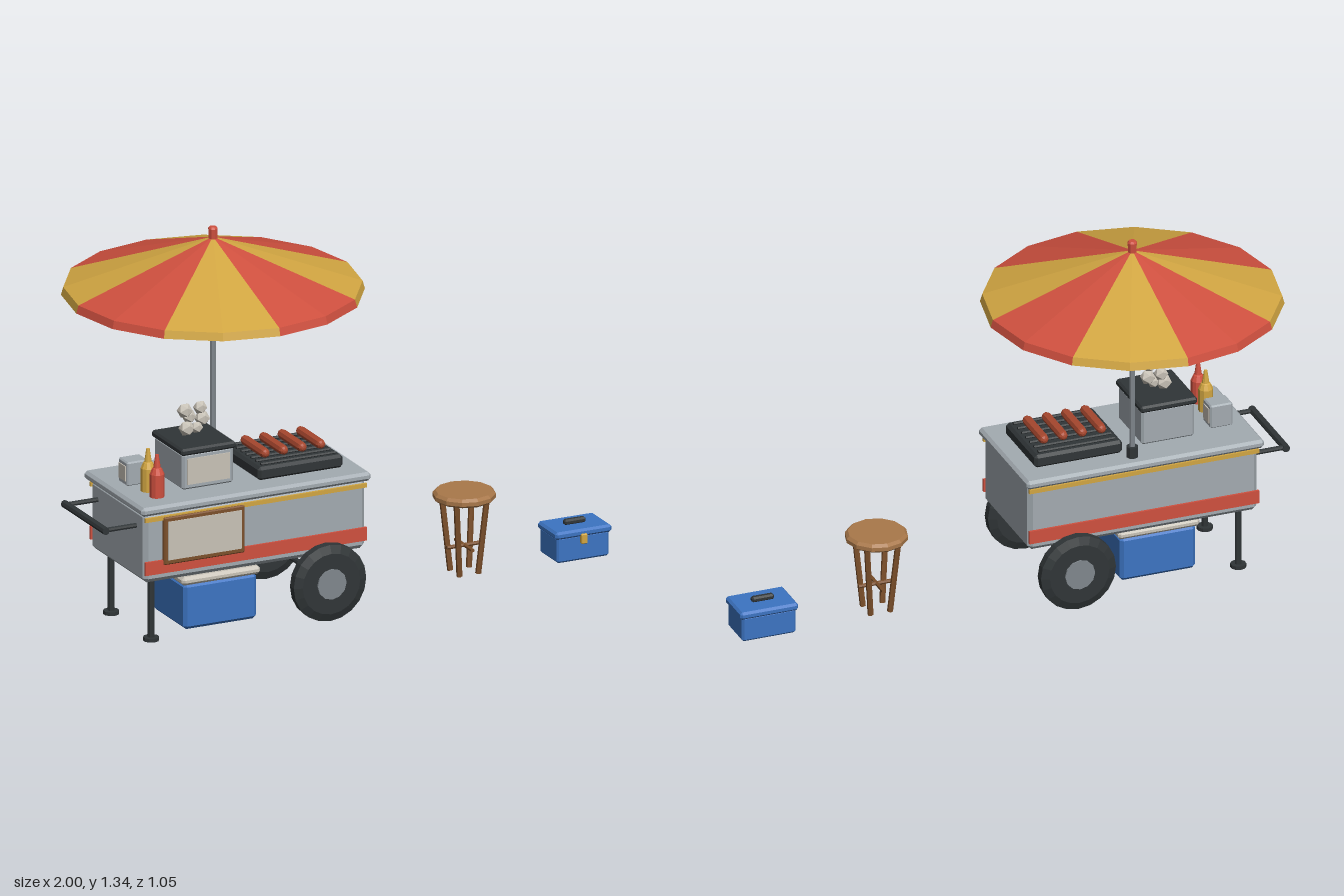
import * as THREE from 'three';
import { ConvexGeometry } from 'three/addons/geometries/ConvexGeometry.js';

const mat = (name, color, side = THREE.FrontSide) => {
  const m = new THREE.MeshStandardMaterial({ color, flatShading: true, side });
  m.name = name;
  return m;
};

export function createModel() {
  const red = mat('red', 0xcf503f, THREE.DoubleSide);
  const yellow = mat('yellow', 0xd2a642, THREE.DoubleSide);
  const steel = mat('steel', 0xa3abb1);
  const darkSteel = mat('dark steel', 0x80878d);
  const dark = mat('charcoal', 0x303537);
  const blue = mat('blue', 0x3c74c2);
  const cream = mat('cream', 0xc8c2b7);
  const brown = mat('brown', 0x7d502b);
  const tan = mat('tan', 0xa9784a);
  const sausageRed = mat('sausage', 0xa9482f);

  const model = new THREE.Group();
  model.name = 'foodCart';
  const group = (name) => {
    const g = new THREE.Group();
    g.name = name;
    model.add(g);
    return g;
  };
  const add = (parent, name, geo, material, x = 0, y = 0, z = 0) => {
    const m = new THREE.Mesh(geo, material);
    m.name = name;
    m.position.set(x, y, z);
    parent.add(m);
    return m;
  };
  // Box given by its limits; a bevel b > 0 chamfers every edge
  const box = (parent, name, material, x0, x1, y0, y1, z0, z1, b = 0) => {
    const w = (x1 - x0) / 2, h = (y1 - y0) / 2, d = (z1 - z0) / 2;
    let geo;
    if (b) {
      const pts = [];
      for (const i of [-1, 1]) for (const j of [-1, 1]) for (const k of [-1, 1]) {
        pts.push(
          new THREE.Vector3(i * w, j * (h - b), k * (d - b)),
          new THREE.Vector3(i * (w - b), j * h, k * (d - b)),
          new THREE.Vector3(i * (w - b), j * (h - b), k * d));
      }
      geo = new ConvexGeometry(pts);
    } else geo = new THREE.BoxGeometry(w * 2, h * 2, d * 2);
    return add(parent, name, geo, material, (x0 + x1) / 2, (y0 + y1) / 2, (z0 + z1) / 2);
  };
  // Round bar between two points
  const bar = (parent, name, material, a, b, r, sides = 8) => {
    const p = new THREE.Vector3(...a), q = new THREE.Vector3(...b);
    const dir = q.clone().sub(p);
    const m = add(parent, name, new THREE.CylinderGeometry(r, r, dir.length(), sides), material);
    m.position.copy(p).add(q).multiplyScalar(0.5);
    m.quaternion.setFromUnitVectors(new THREE.Vector3(0, 1, 0), dir.normalize());
    return m;
  };
  const lathe = (pts, sides, start = 0, sweep = Math.PI * 2) =>
    new THREE.LatheGeometry(pts.map(([r, y]) => new THREE.Vector2(r, y)), sides, start, sweep);

  // Cart body, counter and stripes on both long sides
  const cart = group('cart');
  box(cart, 'cartBody', steel, -0.865, -0.015, 0.23, 0.485, -0.03, 0.39, 0.016);
  box(cart, 'counterTop', steel, -0.88, 0, 0.478, 0.51, -0.055, 0.405, 0.01);
  for (const z of [-0.034, 0.394]) {
    box(cart, 'redStripe', red, -0.865, -0.015, 0.262, 0.31, z - 0.0045, z + 0.0045);
    box(cart, 'yellowStripe', yellow, -0.865, -0.015, 0.455, 0.47, z - 0.0045, z + 0.0045);
  }
  box(cart, 'menuFrame', brown, -0.797, -0.487, 0.293, 0.465, 0.39, 0.406, 0.004);
  box(cart, 'menuPanel', cream, -0.782, -0.501, 0.31, 0.45, 0.402, 0.409);

  // Push handle
  const handle = group('pushHandle');
  bar(handle, 'handleGrip', dark, [-0.986, 0.425, 0.012], [-0.986, 0.425, 0.338], 0.0135);
  for (const z of [0.025, 0.325]) bar(handle, 'handleArm', dark, [-0.986, 0.425, z], [-0.86, 0.425, z], 0.009);

  // Support legs with feet
  for (const z of [0.02, 0.33]) {
    const leg = group('supportLeg');
    bar(leg, 'legPost', dark, [-0.81, 0, z], [-0.81, 0.24, z], 0.0125);
    bar(leg, 'legFoot', dark, [-0.81, 0, z], [-0.81, 0.013, z], 0.028, 10);
  }

  // Wheels on an axle
  const wheels = group('wheels');
  bar(wheels, 'axle', dark, [-0.177, 0.144, -0.07], [-0.177, 0.144, 0.423], 0.01);
  const tyre = lathe([[0, -0.027], [0.11, -0.027], [0.139, -0.015], [0.139, 0.015], [0.11, 0.027], [0, 0.027]], 20);
  for (const z of [-0.07, 0.423]) {
    add(wheels, 'tyre', tyre, dark, -0.177, 0.144, z).rotation.x = Math.PI / 2;
    bar(wheels, 'hub', darkSteel, [-0.177, 0.144, z - 0.033], [-0.177, 0.144, z + 0.033], 0.055, 12);
  }

  // Parasol: eight panels of two facets each
  const parasol = group('parasol');
  for (let i = 0; i < 8; i++) {
    const panel = lathe([[0.524, 1.105], [0.516, 1.133], [0, 1.305]], 2, i * Math.PI / 4, Math.PI / 4);
    add(parasol, 'canopyPanel', panel, i % 2 ? yellow : red, -0.41);
  }
  bar(parasol, 'pole', darkSteel, [-0.41, 0.5, 0], [-0.41, 1.3, 0], 0.0105);
  bar(parasol, 'poleSocket', dark, [-0.41, 0.505, 0], [-0.41, 0.55, 0], 0.021);
  add(parasol, 'finial', lathe([[0, 0], [0.016, 0], [0.017, 0.035], [0.012, 0.042], [0, 0.042]], 8), red, -0.41, 1.3, 0);

  // Steamer with lid and puffs of steam
  const steamer = group('steamer');
  box(steamer, 'steamerBox', steel, -0.668, -0.472, 0.508, 0.64, 0.066, 0.288, 0.008);
  box(steamer, 'steamerWindow', cream, -0.652, -0.488, 0.528, 0.622, 0.286, 0.292);
  box(steamer, 'steamerLid', dark, -0.675, -0.465, 0.635, 0.66, 0.056, 0.296, 0.007);
  const puffs = [
    [-0.592, 0.686, 0.165, 0.029], [-0.558, 0.688, 0.175, 0.022], [-0.606, 0.757, 0.178, 0.028],
    [-0.578, 0.725, 0.155, 0.026], [-0.533, 0.715, 0.165, 0.028], [-0.543, 0.757, 0.17, 0.025],
  ];
  for (const [x, y, z, r] of puffs) add(steamer, 'steamPuff', new THREE.IcosahedronGeometry(r, 0), cream, x, y, z);

  // Grill with rods and four sausages
  const grill = group('grill');
  box(grill, 'grillBase', dark, -0.39, -0.065, 0.508, 0.557, 0.035, 0.317, 0.01);
  for (let i = 0; i < 7; i++) {
    const z = 0.062 + i * 0.038;
    bar(grill, 'grillRod', dark, [-0.37, 0.56, z], [-0.085, 0.56, z], 0.006, 6);
  }
  for (let i = 0; i < 4; i++) {
    const s = add(grill, 'sausage', new THREE.CapsuleGeometry(0.0175, 0.15, 3, 8), sausageRed, -0.335 + i * 0.071, 0.584, 0.176);
    s.rotation.x = Math.PI / 2;
  }

  // Sauce bottles and napkin box
  const bottle = lathe([[0, 0], [0.026, 0], [0.026, 0.085], [0.017, 0.105], [0.013, 0.108], [0.006, 0.155], [0, 0.155]], 10);
  add(model, 'redSauceBottle', bottle, red, -0.775, 0.508, 0.305);
  add(model, 'yellowSauceBottle', bottle, yellow, -0.775, 0.508, 0.235);
  const napkins = group('napkinBox');
  box(napkins, 'napkinHolder', steel, -0.82, -0.738, 0.508, 0.595, 0.095, 0.165, 0.005);
  for (const x of [-0.821, -0.737]) box(napkins, 'napkinFace', cream, x - 0.003, x + 0.003, 0.525, 0.58, 0.106, 0.154);

  // Cooler under the cart
  const cooler = group('cooler');
  box(cooler, 'coolerBody', blue, -0.668, -0.388, 0.004, 0.17, 0.053, 0.302, 0.012);
  box(cooler, 'coolerLid', cream, -0.68, -0.378, 0.168, 0.198, 0.044, 0.312, 0.01);
  box(cooler, 'coolerGrip', cream, -0.58, -0.475, 0.195, 0.212, 0.162, 0.192, 0.005);

  // Stool with legs leaning inwards to the floor
  const stool = group('stool');
  add(stool, 'seat', lathe([[0, 0.27], [0.1, 0.27], [0.11, 0.278], [0.11, 0.292], [0.1, 0.302], [0, 0.302]], 12), tan, 0.467, 0, 0.176);
  for (const i of [-1, 1]) {
    for (const k of [-1, 1]) {
      bar(stool, 'stoolLeg', brown, [0.467 + i * 0.036, 0.005, 0.176 + k * 0.036], [0.467 + i * 0.058, 0.275, 0.176 + k * 0.058], 0.0105, 6);
    }
  }
  bar(stool, 'crossRail', brown, [0.4, 0.102, 0.176], [0.534, 0.102, 0.176], 0.007, 6);
  bar(stool, 'crossRail', brown, [0.467, 0.102, 0.109], [0.467, 0.102, 0.243], 0.007, 6);

  // Small lidded box with latch and grip
  const chest = group('smallBox');
  box(chest, 'boxBody', blue, 0.79, 0.99, 0.004, 0.097, 0.108, 0.245, 0.007);
  box(chest, 'boxLid', blue, 0.783, 0.998, 0.09, 0.118, 0.102, 0.251, 0.008);
  box(chest, 'boxLatch', yellow, 0.877, 0.901, 0.066, 0.102, 0.243, 0.259, 0.003);
  box(chest, 'boxGrip', dark, 0.848, 0.93, 0.115, 0.136, 0.165, 0.188, 0.006);

  return model;
}
